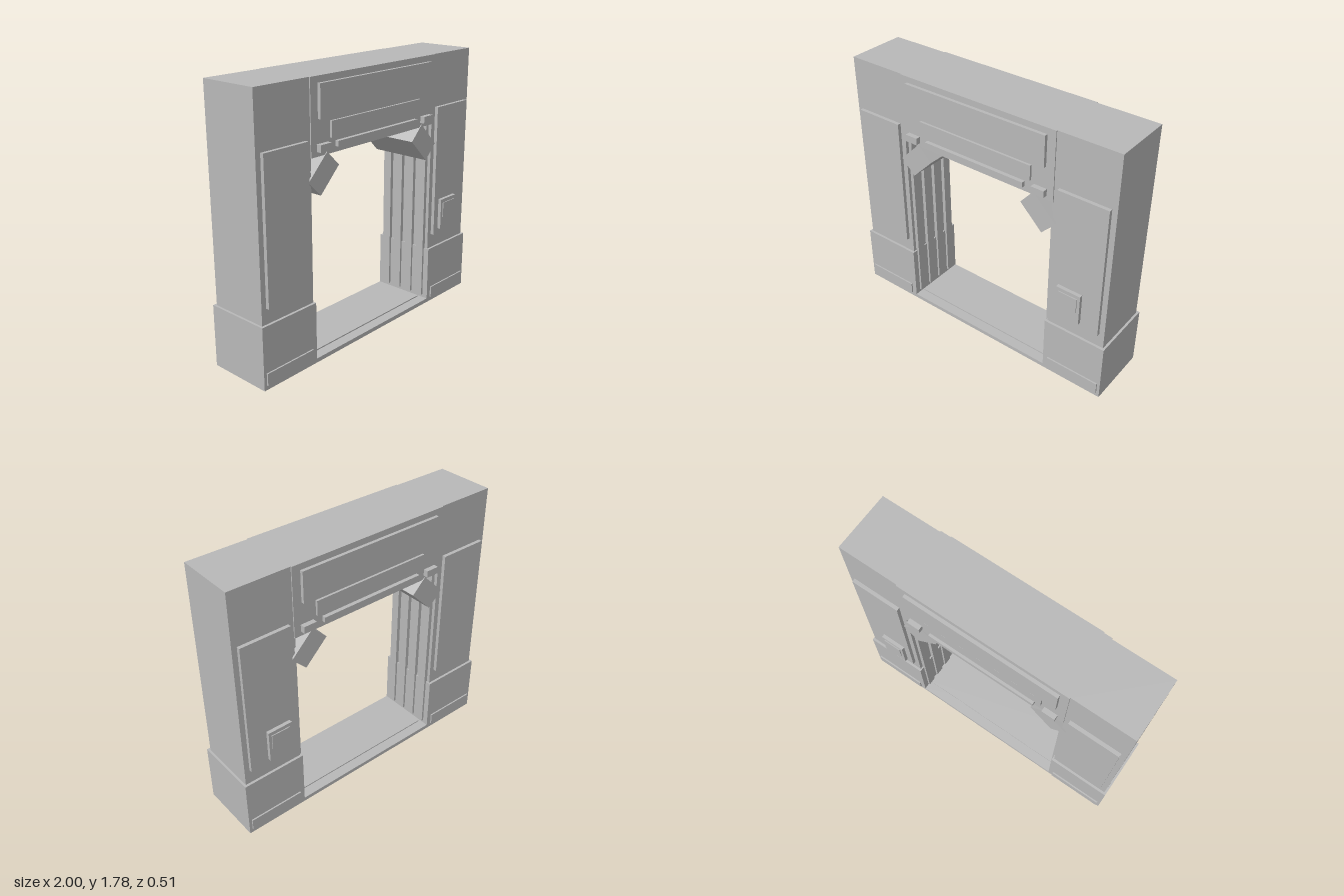
import * as THREE from 'three';

export function createModel() {
  const model = new THREE.Group();
  model.name = 'gateFrame';
  const grey = new THREE.MeshStandardMaterial({ color: 0xb8b8b8 });
  grey.name = 'plainGrey';

  // Box given by its limits on each axis
  function block(name, x0, x1, y0, y1, z0, z1) {
    const mesh = new THREE.Mesh(new THREE.BoxGeometry(x1 - x0, y1 - y0, z1 - z0), grey);
    mesh.position.set((x0 + x1) / 2, (y0 + y1) / 2, (z0 + z1) / 2);
    mesh.name = name;
    model.add(mesh);
    return mesh;
  }

  // Same box on the left and right
  function pair(name, x0, x1, y0, y1, z0, z1) {
    block(name + 'Left', x0, x1, y0, y1, z0, z1);
    block(name + 'Right', -x1, -x0, y0, y1, z0, z1);
  }

  // Main frame
  pair('pillar', 0.575, 0.985, 0.41, 1.78, -0.203, 0.203);
  pair('pillarBase', 0.565, 1.0, 0, 0.41, -0.22, 0.22);
  block('lintel', -0.575, 0.575, 1.315, 1.78, -0.21, 0.21);

  // Floor sill with a raised tread
  block('sill', -0.565, 0.565, 0, 0.028, -0.22, 0.22);
  block('sillTread', -0.55, 0.55, 0.028, 0.036, -0.15, 0.15);

  // Vertical slats on the inner faces
  for (let i = 0; i < 4; i++) {
    const z = -0.15 + i * 0.1;
    pair('innerSlat' + i, 0.55, 0.58, 0.05, 1.315, z - 0.03, z + 0.03);
  }

  // Diagonal corner braces under the lintel
  for (const s of [-1, 1]) {
    const brace = new THREE.Mesh(new THREE.BoxGeometry(0.22, 0.14, 0.43), grey);
    brace.position.set(s * 0.478, 1.205, 0);
    brace.rotation.z = -s * Math.PI / 4;
    brace.name = s > 0 ? 'cornerBraceLeft' : 'cornerBraceRight';
    model.add(brace);
  }

  // Details repeated on the front and the back
  for (const s of [1, -1]) {
    const side = s > 0 ? 'front' : 'back';
    const face = (name, x0, x1, y0, y1, from, to) =>
      block(side + name, x0, x1, y0, y1, Math.min(s * from, s * to), Math.max(s * from, s * to));
    const facePair = (name, x0, x1, y0, y1, from, to) => {
      face(name + 'Left', x0, x1, y0, y1, from, to);
      face(name + 'Right', -x1, -x0, y0, y1, from, to);
    };
    facePair('PillarPanel', 0.61, 0.95, 0.51, 1.425, 0.2, 0.227);
    facePair('KickPlate', 0.6, 0.98, 0.03, 0.11, 0.215, 0.23);
    face('SignPanel', -0.518, 0.518, 1.535, 1.74, 0.205, 0.232);
    face('LowerSign', -0.42, 0.42, 1.41, 1.51, 0.205, 0.225);
    face('LightBar', -0.375, 0.375, 1.35, 1.385, 0.205, 0.236);
    facePair('Indicator', 0.44, 0.53, 1.345, 1.39, 0.205, 0.243);
    face('ControlBox', 0.655, 0.825, 0.548, 0.765, 0.22, 0.251);
    face('ControlScreen', 0.675, 0.805, 0.635, 0.74, 0.245, 0.257);
  }
  return model;
}
